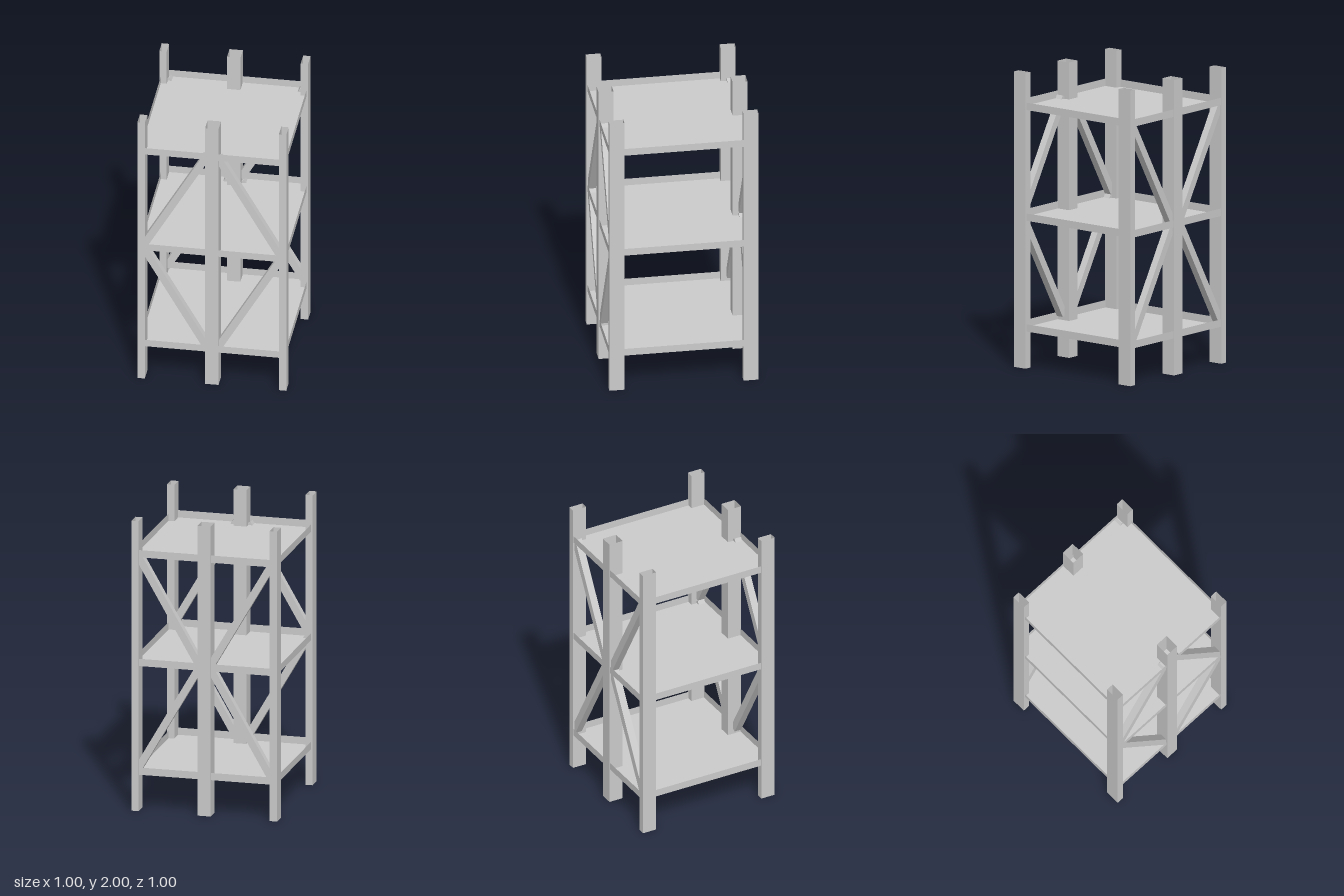
import * as THREE from 'three';

const material = new THREE.MeshStandardMaterial({
  color: 0xcccccc, flatShading: true, side: THREE.DoubleSide,
});

// Thin-walled box without its top, or without both top and bottom
function openBox(w, h, d, openBottom) {
  const g = new THREE.BoxGeometry(w, h, d);
  const index = Array.from(g.index.array);
  index.splice(12, openBottom ? 12 : 6);
  g.setIndex(index);
  g.clearGroups();
  return g;
}

export function createModel() {
  const model = new THREE.Group();
  model.name = 'shelvingTower';

  function add(name, geometry, x, y, z, tilt = 0) {
    const mesh = new THREE.Mesh(geometry, material);
    mesh.name = name;
    mesh.position.set(x, y, z);
    mesh.rotation.z = tilt;
    model.add(mesh);
  }

  // Hollow posts: two corners and one wider middle post on each face
  const cornerPost = openBox(0.05, 2, 0.1, true);
  const middlePost = openBox(0.09, 2, 0.1, true);
  for (const z of [-0.45, 0.45]) {
    for (const x of [-0.475, 0.475]) add('cornerPost', cornerPost, x, 1, z);
    add('middlePost', middlePost, 0, 1, z);
  }

  // Three shallow tray shelves, floor at the bottom of the rim
  const shelf = openBox(0.98, 0.05, 0.99, false);
  for (const y of [0.275, 1.025, 1.775]) add('shelf', shelf, 0, y, 0);

  // Hollow diagonal braces, alternating direction by bay, level and face
  const brace = openBox(0.05, 0.837, 0.05, true);
  for (const face of [-1, 1]) {
    for (const side of [-1, 1]) {
      for (const level of [-1, 1]) {
        add('brace', brace, side * 0.25, 1.025 + level * 0.375, face * 0.465,
          face * side * level * Math.PI / 6);
      }
    }
  }
  return model;
}
